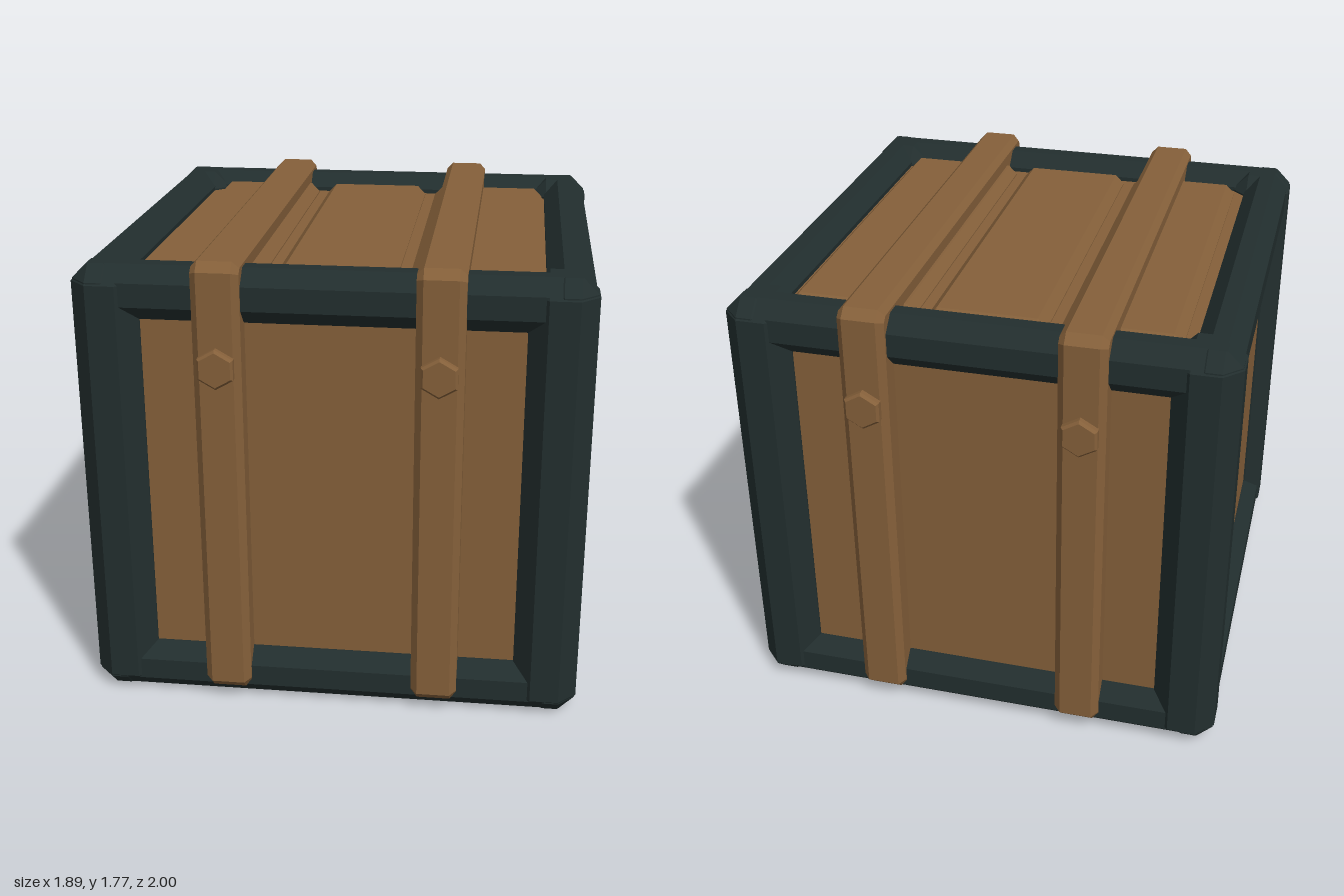
import * as THREE from 'three';
import { ConvexGeometry } from 'three/addons/geometries/ConvexGeometry.js';

export function createModel() {
  const crate = new THREE.Group();
  crate.name = 'crate';

  const wood = new THREE.MeshStandardMaterial({ color: 0x85603a });
  wood.name = 'brown wood';
  const iron = new THREE.MeshStandardMaterial({ color: 0x222e2e });
  iron.name = 'dark frame';

  const add = (name, geometry, material) => {
    const mesh = new THREE.Mesh(geometry, material);
    mesh.name = name;
    crate.add(mesh);
    return mesh;
  };

  // Box between two corners, with every edge chamfered by c
  const chamferBox = (x0, x1, y0, y1, z0, z1, c) => {
    const half = [(x1 - x0) / 2, (y1 - y0) / 2, (z1 - z0) / 2];
    const points = [];
    for (const sx of [-1, 1]) for (const sy of [-1, 1]) for (const sz of [-1, 1]) {
      for (let axis = 0; axis < 3; axis++) {
        const p = half.map((h, i) => (i === axis ? h : h - c));
        points.push(new THREE.Vector3(p[0] * sx, p[1] * sy, p[2] * sz));
      }
    }
    const geometry = new ConvexGeometry(points);
    geometry.translate((x0 + x1) / 2, (y0 + y1) / 2, (z0 + z1) / 2);
    return geometry;
  };

  // Inner body forming the side panels and floor
  const body = add('bodyPanels', new THREE.BoxGeometry(1.74, 1.59, 1.74), wood);
  body.position.y = 0.865;

  // Lid planks
  for (const [x0, x1] of [[-0.715, -0.27], [-0.225, 0.22], [0.265, 0.75]]) {
    add('lidPlank', chamferBox(x0, x1, 1.55, 1.7, -0.765, 0.755, 0.035), wood);
  }

  // Frame: horizontal beams at top and bottom, and four corner posts
  for (const s of [-1, 1]) {
    const lo = s < 0 ? -0.935 : 0.76;
    const hi = s < 0 ? -0.76 : 0.935;
    for (const [y0, y1] of [[0, 0.2], [1.53, 1.735]]) {
      add('crossBeam', chamferBox(-0.94, 0.94, y0, y1, lo, hi, 0.058), iron);
      add('sideBeam', chamferBox(lo, hi, y0, y1, -0.94, 0.94, 0.058), iron);
    }
    for (const t of [-1, 1]) {
      const post = add('cornerPost', chamferBox(-0.1225, 0.1225, 0, 1.735, -0.1225, 0.1225, 0.068), iron);
      post.position.set(s * 0.8225, 0, t * 0.8225);
    }
  }

  // Straps: closed bands running around the crate, with bevelled edges
  const bevel = 0.025;
  const outline = (path, z, y0, y1, c) => {
    path.moveTo(-z + c, y0);
    path.lineTo(z - c, y0);
    path.lineTo(z, y0 + c);
    path.lineTo(z, y1 - c);
    path.lineTo(z - c, y1);
    path.lineTo(-z + c, y1);
    path.lineTo(-z, y1 - c);
    path.lineTo(-z, y0 + c);
    path.closePath();
    return path;
  };
  const band = outline(new THREE.Shape(), 0.97 - bevel, 0.05 + bevel, 1.77 - bevel, 0.02);
  band.holes.push(outline(new THREE.Path(), 0.8, 0.2, 1.6, 0.02));
  const width = 0.176;
  const strapGeometry = new THREE.ExtrudeGeometry(band, {
    depth: width - 2 * bevel, bevelEnabled: true, bevelSegments: 1,
    bevelSize: bevel, bevelThickness: bevel,
  });
  strapGeometry.translate(0, 0, bevel - width / 2);
  strapGeometry.rotateY(Math.PI / 2);

  // Hexagonal bolt heads with a small bevelled rim
  const bolt = new THREE.CylinderGeometry(0.076, 0.076, 0.035, 6);
  bolt.rotateX(Math.PI / 2);
  const cap = new THREE.CylinderGeometry(0.066, 0.076, 0.01, 6);
  cap.rotateX(Math.PI / 2);
  const boltParts = [[bolt, 0.9725], [cap, 0.995]].map(([g, z]) => {
    g.translate(0, 0, z);
    const flat = g.toNonIndexed();
    flat.computeVertexNormals();
    return flat;
  });

  for (const x of [-0.4025, 0.3975]) {
    add('strap', strapGeometry, wood).position.x = x;
    for (const turn of [0, Math.PI]) {
      for (const g of boltParts) {
        const head = add('boltHead', g, wood);
        head.position.set(x, 1.385, 0);
        head.rotation.y = turn;
      }
    }
  }

  return crate;
}
